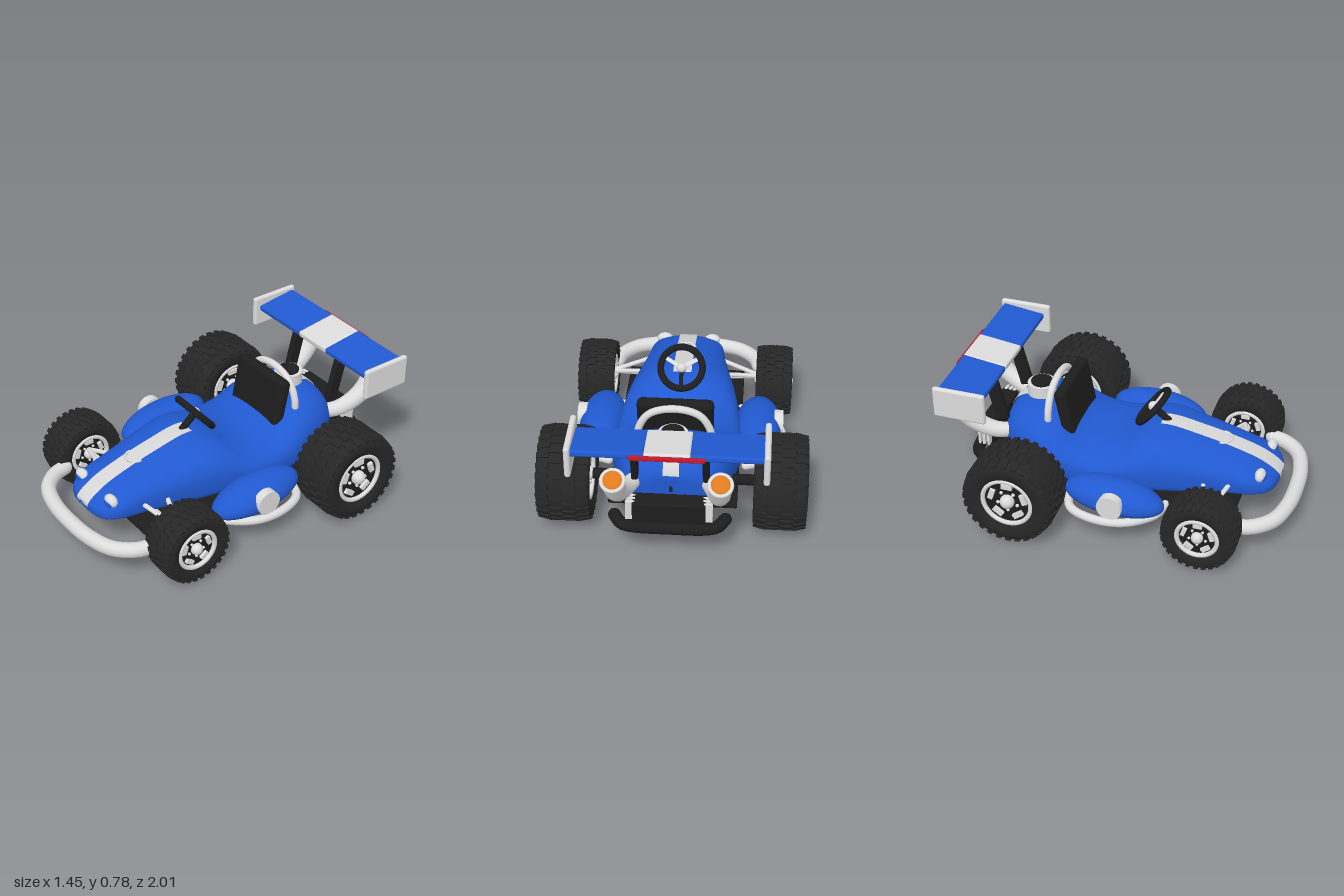
import * as THREE from 'three';
import { mergeGeometries } from 'three/addons/utils/BufferGeometryUtils.js';
import { RoundedBoxGeometry } from 'three/addons/geometries/RoundedBoxGeometry.js';

const mat = (name, color, side = THREE.FrontSide) => {
  const m = new THREE.MeshStandardMaterial({ color, side });
  m.name = name;
  return m;
};
const V = (x, y, z) => new THREE.Vector3(x, y, z);

// Surface through rows of points, optionally closed around each row
function loft(rows, closed) {
  const n = rows[0].length, idx = [];
  for (let i = 0; i < rows.length - 1; i++)
    for (let j = 0; j < (closed ? n : n - 1); j++) {
      const k = (j + 1) % n, a = i * n + j, b = i * n + k, c = a + n, d = b + n;
      idx.push(a, c, b, b, c, d);
    }
  const g = new THREE.BufferGeometry().setFromPoints(rows.flat());
  g.setIndex(idx);
  g.computeVertexNormals();
  return g;
}

// Tube with rounded ends whose radius may grow from r0 to r1
function tube(points, r0, r1 = r0, caps = true) {
  const curve = new THREE.CatmullRomCurve3(points.map(p => V(...p)));
  const n = 36, g = new THREE.TubeGeometry(curve, n, 1, 14), pos = g.attributes.position;
  for (let i = 0; i < pos.count; i++) {
    const t = Math.floor(i / 15) / n, c = curve.getPointAt(t);
    const p = V().fromBufferAttribute(pos, i).sub(c).multiplyScalar(r0 + (r1 - r0) * t).add(c);
    pos.setXYZ(i, p.x, p.y, p.z);
  }
  if (!caps) return g;
  const ends = [[0, r0], [1, r1]].map(([t, r]) => {
    const c = curve.getPointAt(t);
    return new THREE.SphereGeometry(r, 14, 10).translate(c.x, c.y, c.z);
  });
  return mergeGeometries([g, ...ends]);
}

// Hull stations: z, half width, top, bottom
const stations = [
  [0.86, 0.02, 0.29, 0.27], [0.855, 0.09, 0.3, 0.25], [0.82, 0.165, 0.33, 0.235], [0.74, 0.21, 0.375, 0.225],
  [0.6, 0.23, 0.42, 0.21], [0.4, 0.268, 0.465, 0.19], [0.22, 0.305, 0.492, 0.18], [0.1, 0.325, 0.47, 0.18],
  [0, 0.34, 0.425, 0.18], [-0.12, 0.35, 0.4, 0.18], [-0.24, 0.35, 0.42, 0.18], [-0.36, 0.342, 0.495, 0.18],
  [-0.48, 0.315, 0.53, 0.19], [-0.58, 0.28, 0.525, 0.2], [-0.65, 0.235, 0.49, 0.22], [-0.685, 0.16, 0.44, 0.26],
  [-0.69, 0.01, 0.37, 0.33]
];
const widthTop = new THREE.CatmullRomCurve3(stations.map(([z, w, t]) => V(w, t, z)));
const bottoms = new THREE.CatmullRomCurve3(stations.map(([z, , , b]) => V(0, b, z)));
function station(u) {
  const p = widthTop.getPoint(u), b = bottoms.getPoint(u).y;
  return { z: p.z, w: Math.max(p.x, 0.002), t: p.y, b, m: b + (p.y - b) * 0.36 };
}
function hull() {
  const rows = [];
  for (let i = 0; i <= 96; i++) {
    const s = station(i / 96), row = [];
    for (let j = 0; j < 48; j++) {
      const a = j / 48 * Math.PI * 2, c = Math.cos(a), v = Math.sin(a), e = v >= 0 ? 0.8 : 0.5;
      const x = s.w * Math.sign(c) * Math.abs(c) ** e;
      const y = v >= 0 ? s.m + (s.t - s.m) * v ** e : s.m - (s.m - s.b) * (-v) ** e;
      row.push(V(x, y, s.z));
    }
    rows.push(row);
  }
  return loft(rows, true);
}
// Painted strip lying on top of the hull
function stripe(half, zFront, zBack) {
  const rows = [];
  for (let i = 0; i <= 200; i++) {
    const s = station(i / 200);
    if (s.z > zFront || s.z < zBack) continue;
    const row = [];
    for (let j = 0; j <= 6; j++) {
      const x = THREE.MathUtils.clamp(half * (1 - j / 3), -s.w, s.w);
      const v = Math.sin(Math.acos(Math.min(1, (Math.abs(x) / s.w) ** 1.25)));
      row.push(V(x, s.m + (s.t - s.m) * v ** 0.8 + 0.006, s.z + (s.z > 0 ? 0.005 : -0.005)));
    }
    rows.push(row);
  }
  return loft(rows, false);
}

export function createModel() {
  const root = new THREE.Group();
  root.name = 'buggy';
  const blue = mat('blue paint', 0x2159d0), white = mat('white trim', 0xdcdcdc);
  const stripeWhite = mat('white stripe', 0xd6d6d6, THREE.DoubleSide);
  const black = mat('black plastic', 0x1d1d1d), rubber = mat('tyre rubber', 0x262626);
  const red = mat('red lamp', 0xc01828), orange = mat('orange exhaust', 0xe07a20);
  const add = (name, geo, material, x = 0, y = 0, z = 0, parent = root) => {
    const m = new THREE.Mesh(geo, material);
    m.name = name;
    m.position.set(x, y, z);
    parent.add(m);
    return m;
  };
  const box = (w, h, d, r = 0.01) => new RoundedBoxGeometry(w, h, d, 3, r);
  const cylX = (r, len, seg = 32) => new THREE.CylinderGeometry(r, r, len, seg).rotateZ(Math.PI / 2);

  // Body and floor
  add('body', hull(), blue);
  add('frontStripe', stripe(0.052, 0.862, 0.17), stripeWhite);
  add('rearStripe', stripe(0.042, -0.5, -0.688), stripeWhite);
  add('floor', box(0.69, 0.025, 1.28, 0.008), black, 0, 0.178, 0.035);
  add('noseClip', new THREE.TorusGeometry(0.053, 0.008, 8, 20, Math.PI).rotateX(Math.PI / 2), white, 0, 0.44, 0.52);

  // Wheels: radius R, width W
  function wheel(name, x, y, z, R, W, rim) {
    const g = new THREE.Group();
    g.name = name;
    g.position.set(x, y, z);
    root.add(g);
    const h = W / 2, r = R - 0.012;
    const side = [[rim - 0.01, 0.8], [rim + 0.012, 0.94], [r * 0.8, 1], [r * 0.92, 0.98], [r * 0.98, 0.88], [r, 0.7]];
    const profile = [...side.map(([a, k]) => new THREE.Vector2(a, -k * h)),
      ...side.reverse().map(([a, k]) => new THREE.Vector2(a, k * h))];
    add('tyre', new THREE.LatheGeometry(profile, 48).rotateZ(-Math.PI / 2), rubber, 0, 0, 0, g);
    const lugs = [], n = 28;
    for (let i = 0; i < n; i++)
      [-0.72, -0.25, 0.25, 0.72].forEach((k, j) => {
        const outer = Math.abs(k) > 0.5;
        const lug = new THREE.BoxGeometry(W * 0.24, 0.03, R * 0.11);
        if (outer) lug.rotateZ(-Math.sign(k) * 0.22);
        lug.translate(k * h, outer ? r - 0.008 : r - 0.003, 0);
        lugs.push(lug.rotateX((i + (j % 2) / 2) / n * Math.PI * 2));
      });
    add('treadLugs', mergeGeometries(lugs), rubber, 0, 0, 0, g);
    add('wheelDisc', cylX(rim, W * 0.7), black, 0, 0, 0, g);
    const parts = [];
    for (const s of [-1, 1]) {
      parts.push(new THREE.TorusGeometry(rim - 0.008, 0.013, 10, 40).rotateY(Math.PI / 2).translate(s * h * 0.84, 0, 0));
      parts.push(new THREE.SphereGeometry(rim * 0.28, 18, 12).translate(s * h * 0.78, 0, 0));
      for (let i = 0; i < 5; i++) {
        const a = i / 5 * Math.PI * 2;
        parts.push(new THREE.BoxGeometry(0.025, rim * 0.2, rim * 0.42).translate(s * h * 0.74, rim * 0.66, 0).rotateX(a));
        parts.push(new THREE.SphereGeometry(rim * 0.07, 8, 6).translate(s * h * 0.75, rim * 0.4, 0).rotateX(a + 0.63));
      }
    }
    add('rim', mergeGeometries(parts), white, 0, 0, 0, g);
  }
  for (const s of [-1, 1]) {
    const n = s > 0 ? 'left' : 'right';
    wheel(n + 'RearWheel', s * 0.572, 0.266, -0.478, 0.26, 0.285, 0.145);
    wheel(n + 'FrontWheel', s * 0.522, 0.213, 0.55, 0.207, 0.212, 0.118);
  }
  add('rearAxle', cylX(0.03, 1), black, 0, 0.266, -0.478);

  // Parts mirrored on both sides
  for (const s of [-1, 1]) {
    // Front suspension arms
    for (const [z, y] of [[0.63, 0.3], [0.46, 0.3], [0.55, 0.22]])
      add('suspensionArm', tube([[s * 0.18, y, z], [s * 0.31, (y + 0.24) / 2, (z + 0.55) / 2], [s * 0.45, 0.235, 0.55]], 0.013), white);

    // Side pods with disc and lower rail
    const pod = new THREE.SphereGeometry(1, 36, 24), p = pod.attributes.position;
    for (let i = 0; i < p.count; i++) {
      const y = p.getY(i);
      p.setXYZ(i, p.getX(i) * 0.13, y * (y > 0 ? 0.105 : 0.075) - p.getZ(i) * 0.02, p.getZ(i) * 0.278);
    }
    pod.computeVertexNormals();
    add('sidePod', pod, blue, s * 0.44, 0.243, 0.043);
    add('podDisc', cylX(0.07, 0.05), white, s * 0.555, 0.265, 0.055);
    add('sideRail', tube([[s * 0.34, 0.175, 0.3], [s * 0.45, 0.175, 0.27], [s * 0.56, 0.175, 0.13], [s * 0.578, 0.175, -0.03],
      [s * 0.52, 0.175, -0.18], [s * 0.38, 0.175, -0.24]], 0.024), white);

    // Headlights with lids
    const lamp = add('headlight', new THREE.SphereGeometry(1, 20, 14), white, s * 0.143, 0.34, 0.772);
    lamp.scale.set(0.047, 0.034, 0.03);
    const lid = add('headlightLens', new THREE.SphereGeometry(1, 20, 14), blue, s * 0.143, 0.333, 0.782);
    lid.scale.set(0.036, 0.022, 0.026);

    // Exhaust pipes
    add('exhaust', tube([[s * 0.17, 0.37, -0.6], [s * 0.23, 0.385, -0.73], [s * 0.26, 0.46, -0.86], [s * 0.268, 0.61, -0.962]],
      0.04, 0.062, false), white);
    const mouth = new THREE.Group();
    mouth.name = 'exhaustMouth';
    mouth.position.set(s * 0.268, 0.61, -0.962);
    mouth.rotation.x = -0.58;
    root.add(mouth);
    add('exhaustLip', new THREE.TorusGeometry(0.056, 0.011, 10, 28).rotateX(Math.PI / 2), white, 0, 0, 0, mouth);
    add('exhaustGlow', new THREE.SphereGeometry(0.054, 24, 12).scale(1, 0.35, 1), orange, 0, 0, 0, mouth);

    // Wing end plates and struts
    add('wingEndPlate', box(0.032, 0.18, 0.298, 0.014), white, s * 0.494, 0.695, -0.805);
    const strut = add('wingStrut', box(0.035, 0.3, 0.075), black, s * 0.185, 0.58, -0.725);
    strut.rotation.x = -0.25;

    // Cooling fins and seat belt anchors
    for (let i = 0; i < 3; i++) add('coolingFin', new THREE.BoxGeometry(0.05, 0.115, 0.014), white, s * 0.2, 0.315, -0.775 - i * 0.026);
    add('beltAnchor', box(0.03, 0.02, 0.025, 0.005), black, s * 0.16, 0.37, -0.13);
  }

  // Front bumper
  add('frontBumper', tube([[-0.43, 0.194, 0.72], [-0.405, 0.194, 0.8], [-0.32, 0.194, 0.89], [-0.17, 0.194, 0.937], [0, 0.194, 0.948],
    [0.17, 0.194, 0.937], [0.32, 0.194, 0.89], [0.405, 0.194, 0.8], [0.43, 0.194, 0.72]], 0.042), white);

  // Seat, roll hoop and steering
  add('seat', box(0.41, 0.32, 0.07, 0.03), black, 0, 0.52, -0.325).rotation.x = -0.2;
  add('rollHoop', tube([[-0.195, 0.42, -0.42], [-0.19, 0.54, -0.42], [-0.13, 0.635, -0.42], [0, 0.67, -0.42],
    [0.13, 0.635, -0.42], [0.19, 0.54, -0.42], [0.195, 0.42, -0.42]], 0.02), white);
  const steering = new THREE.Group();
  steering.name = 'steering';
  steering.position.set(0, 0.563, 0.125);
  steering.rotation.x = 0.7 + Math.PI;
  root.add(steering);
  steering.rotation.x = 0.7;
  add('steeringWheel', new THREE.TorusGeometry(0.117, 0.019, 12, 40), black, 0, 0, 0, steering);
  add('steeringHub', new THREE.SphereGeometry(0.028, 16, 12), white, 0, 0, 0, steering);
  for (let i = 0; i < 3; i++)
    add('steeringSpoke', new THREE.BoxGeometry(0.022, 0.11, 0.012).translate(0, 0.058, 0), i ? white : black, 0, 0, 0, steering)
      .rotation.z = Math.PI + i * Math.PI * 2 / 3;
  add('steeringColumn', new THREE.CylinderGeometry(0.02, 0.02, 0.17, 14).rotateX(Math.PI / 2), black, 0, 0, 0.085, steering);

  // Engine intake
  add('intake', new THREE.CylinderGeometry(0.08, 0.08, 0.07, 32), white, 0, 0.56, -0.525);
  add('intakeNeck', new THREE.CylinderGeometry(0.055, 0.055, 0.08, 24), black, 0, 0.51, -0.525);
  add('intakeCap', new THREE.CylinderGeometry(0.06, 0.06, 0.02, 32), black, 0, 0.597, -0.525);

  // Rear block and bumper
  add('rearBlock', box(0.38, 0.125, 0.1), black, 0, 0.31, -0.8);
  add('rearMount', box(0.3, 0.07, 0.24), black, 0, 0.24, -0.7);
  add('rearBumper', tube([[-0.29, 0.222, -0.76], [-0.24, 0.222, -0.83], [0, 0.222, -0.85], [0.24, 0.222, -0.83], [0.29, 0.222, -0.76]], 0.034), black);

  // Rear wing
  const wing = new THREE.Group();
  wing.name = 'rearWing';
  wing.position.set(0, 0.731, -0.815);
  wing.rotation.x = 0.13;
  root.add(wing);
  for (const s of [-1, 1]) add('wingPanel', box(0.375, 0.036, 0.25, 0.012), blue, s * 0.3, 0, 0, wing);
  add('wingCentre', box(0.235, 0.038, 0.252, 0.012), white, 0, 0, 0, wing);
  add('rearLamp', box(0.38, 0.026, 0.022, 0.008), red, 0, -0.006, -0.127, wing);
  return root;
}
